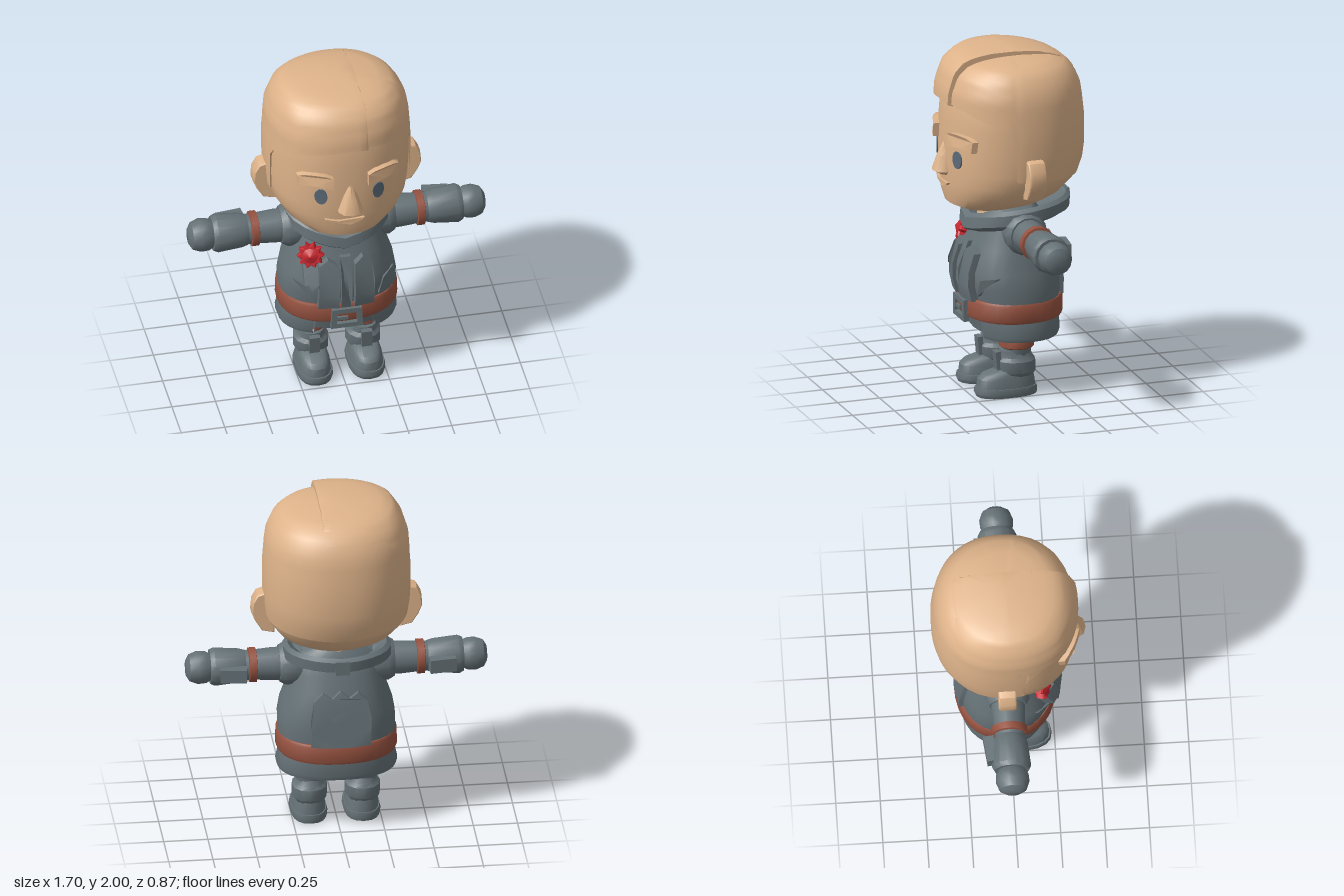
import * as THREE from 'three';
import { toCreasedNormals } from 'three/addons/utils/BufferGeometryUtils.js';

const mat = (name, color, side = THREE.FrontSide) => {
  const m = new THREE.MeshStandardMaterial({ color, side });
  m.name = name;
  return m;
};
const clamp = (v) => Math.min(1, Math.max(0, v));
const lerp = THREE.MathUtils.lerp;

// Piecewise-linear lookup in a table whose first column is the key
function lookup(rows, k) {
  if (k <= rows[0][0]) return rows[0];
  for (let i = 1; i < rows.length; i++) {
    const a = rows[i - 1], b = rows[i];
    if (k <= b[0]) return a.map((v, j) => lerp(v, b[j], (k - a[0]) / (b[0] - a[0])));
  }
  return rows[rows.length - 1];
}

// Surface from fn(i, j): i runs around (front to +x), j runs upwards
function grid(fn, cols, rows, crease = 0.65) {
  const pos = [], idx = [], w = cols + 1;
  for (let j = 0; j < rows; j++) for (let i = 0; i <= cols; i++) pos.push(...fn(i, j));
  for (let j = 0; j < rows - 1; j++) for (let i = 0; i < cols; i++) {
    const a = j * w + i;
    idx.push(a, a + 1, a + w + 1, a, a + w + 1, a + w);
  }
  const g = new THREE.BufferGeometry();
  g.setAttribute('position', new THREE.Float32BufferAttribute(pos, 3));
  g.setIndex(idx);
  return toCreasedNormals(g, crease);
}

// Point on a section [y, half width, front z, back z] at angle a
function onSection([, rx, zf, zb], a, n, off = 0) {
  const p = (v) => Math.sign(v) * Math.abs(v) ** (2 / n);
  return [(rx + off) * p(Math.sin(a)), (zf + zb) / 2 + ((zf - zb) / 2 + off) * p(Math.cos(a))];
}

// Stacked sections, optionally capped, over an arc
function loft(rows, { segs = 20, n = 2.2, a0 = 0, a1 = Math.PI * 2, capped = true, bend = (x, y) => y } = {}) {
  const cap = ([y, , f, b]) => [y, 0, (f + b) / 2, (f + b) / 2];
  const all = capped ? [cap(rows[0]), ...rows, cap(rows[rows.length - 1])] : rows;
  return grid((i, j) => {
    const [x, z] = onSection(all[j], lerp(a0, a1, i / segs), n);
    return [x, bend(x, all[j][0], z), z];
  }, segs, all.length);
}

// Extruded outline laid onto the front (or back) of a lofted surface
function plate(pts, depth, sunk, rows, n, back = false) {
  const shape = new THREE.Shape(pts.map(([x, y]) => new THREE.Vector2(x, y)));
  const g = new THREE.ExtrudeGeometry(shape, { depth, bevelEnabled: false });
  const p = g.attributes.position;
  for (let i = 0; i < p.count; i++) {
    const [, rx, zf, zb] = lookup(rows, p.getY(i));
    const k = (1 - Math.min(0.98, Math.abs(p.getX(i) / rx)) ** n) ** (1 / n);
    p.setZ(i, p.getZ(i) - sunk + (back ? -1 : 1) * (zf + zb) / 2 + (zf - zb) / 2 * k);
  }
  if (back) g.rotateY(Math.PI);
  return toCreasedNormals(g, 0.5);
}

const HEAD = [[1.085, .16, .27, -.1], [1.12, .25, .345, -.2], [1.18, .33, .36, -.3], [1.26, .383, .365, -.375],
  [1.34, .398, .37, -.41], [1.45, .404, .37, -.425], [1.6, .404, .365, -.425], [1.78, .39, .35, -.405],
  [1.87, .35, .315, -.365], [1.925, .29, .25, -.3], [1.95, .18, .14, -.19], [1.96, 0, -.02, -.02]];
const TORSO = [[.45, .325, .22, -.28], [.57, .333, .24, -.285], [.65, .332, .26, -.288], [.73, .318, .26, -.28],
  [.86, .275, .215, -.25], [.95, .255, .18, -.21], [1.05, .23, .15, -.18], [1.1, .15, .1, -.15]];
const HAIRLINE = [[0, 1.73], [.6, 1.7], [1.05, 1.64], [1.3, 1.59], [1.38, 1.31], [3.15, 1.27]];

export function createModel() {
  const root = new THREE.Group();
  const skin = mat('skin', 0xdeb38a), cloth = mat('grey cloth', 0x667277, THREE.DoubleSide);
  const leather = mat('brown leather', 0x965240), red = mat('red badge', 0xc4262e), eye = mat('eye', 0x5c6b78);
  const add = (name, geo, m, x = 0, y = 0, z = 0) => {
    const o = new THREE.Mesh(geo, m);
    o.name = name;
    o.position.set(x, y, z);
    root.add(o);
    return o;
  };

  // Head and neck
  add('head', loft(HEAD, { segs: 48, capped: true }), skin);
  add('neck', new THREE.CylinderGeometry(.15, .17, .2, 16), skin, 0, 1.05, 0);

  // Hair shell; the swept half is raised and cut off along the parting
  const hair = (swept) => grid((i, j) => {
    let a = i / 72 * Math.PI * 2;
    if (a > Math.PI) a -= Math.PI * 2;
    const line = lookup(HAIRLINE, Math.abs(a))[1];
    const bottom = swept ? Math.max(line, 1.68) : line;
    let y = lerp(bottom, 1.96, Math.sin(Math.max(0, j - 1) / 13 * Math.PI / 2));
    const row = lookup(HEAD, y);
    let off = j === 0 ? -.02 : .012;
    if (swept && j > 0) {
      const [x, z] = onSection(row, a, 2.2);
      off += .028 * clamp((z + .32) / .3) * clamp((x + .42) / .15) - .002;
    }
    const [x, z] = onSection(row, a, 2.2, row[1] > 0 ? off : 0);
    y += off * clamp((y - 1.75) / .18);
    return [swept ? Math.min(x, .1) : x, y, z];
  }, 72, 15, 0.6);
  add('hair', hair(false), skin);
  add('sweptHair', hair(true), skin);

  // Face
  add('nose', loft([[1.285, .04, .39, .3], [1.31, .075, .435, .28], [1.4, .045, .405, .3], [1.475, .02, .37, .3]], { segs: 10 }), skin);
  add('mouth', plate([[-.145, 1.255], [-.07, 1.243], [.08, 1.25], [.06, 1.232], [0, 1.212], [-.09, 1.232]], .025, .008, HEAD, 2.2), skin);
  for (const s of [1, -1]) {
    const brow = [[.1, 1.475], [.1, 1.55], [.14, 1.565], [.2, 1.568], [.26, 1.56], [.29, 1.54], [.285, 1.475], [.26, 1.49], [.2, 1.495], [.14, 1.487]];
    add('eyebrow', plate(brow.map(([x, y]) => [s * x, y]), .055, .02, HEAD, 2.2), skin);
    const oval = Array.from({ length: 14 }, (_, i) => {
      const a = i / 14 * Math.PI * 2;
      return [s * .165 + .035 * Math.cos(a), 1.408 + .051 * Math.sin(a)];
    });
    add('eye', plate(oval, .009, .002, HEAD, 2.2), eye);
    const ear = new THREE.Shape([[.36, 1.2], [.42, 1.215], [.455, 1.27], [.475, 1.32], [.47, 1.38], [.445, 1.425], [.41, 1.435], [.36, 1.38]]
      .map(([x, y]) => new THREE.Vector2(s * x, y)));
    add('ear', toCreasedNormals(new THREE.ExtrudeGeometry(ear, { depth: .06, bevelSize: .008, bevelThickness: .02, bevelSegments: 2 }), .6), skin, 0, 0, -.06);
  }

  // Coat body with placket, chest panels, back panel and slanted pockets
  add('coat', loft(TORSO, { segs: 28, n: 2.4 }), cloth);
  add('placket', plate([[-.03, .55], [.03, .55], [.03, .65], [.03, .75], [.03, .88], [-.03, .88], [-.03, .75], [-.03, .65]], .045, .02, TORSO, 2.4), cloth);
  for (const s of [1, -1]) {
    const panel = [[.045, .56], [.045, .65], [.045, .73], [.05, .84], [.1, .875], [.15, .835], [.16, .73], [.16, .65], [.16, .56]];
    add('chestPanel', plate(panel.map(([x, y]) => [s * x, y]), .06, .02, TORSO, 2.4), cloth);
    add('pocket', plate([[.19, .6], [.22, .7], [.29, .72]].map(([x, y]) => [s * x, y]), .05, .03, TORSO, 2.4), cloth);
  }
  add('backPanel', plate([[-.17, .56], [-.06, .56], [.06, .56], [.17, .56], [.17, .65], [.17, .73], [.15, .83], [.1, .88], [.05, .85],
    [0, .89], [-.05, .85], [-.1, .88], [-.15, .83], [-.17, .73], [-.17, .65]], .055, .03, TORSO, 2.4, true), cloth);

  // Belt and buckle
  add('belt', loft([[.455, .335, .258, -.303], [.47, .343, .265, -.308], [.555, .34, .262, -.308], [.57, .332, .255, -.3]], { segs: 32, n: 2.3 }), leather);
  const frame = new THREE.Shape([[-.092, -.06], [.092, -.06], [.085, .065], [-.085, .065]].map((p) => new THREE.Vector2(...p)));
  frame.holes.push(new THREE.Path([[-.06, -.032], [-.055, .036], [.055, .036], [.06, -.032]].map((p) => new THREE.Vector2(...p))));
  add('buckle', new THREE.ExtrudeGeometry(frame, { depth: .03, bevelEnabled: false }), cloth, 0, .485, .25);
  add('bucklePin', new THREE.BoxGeometry(.075, .02, .03), cloth, -.03, .485, .262);

  // Hips and open-fronted coat skirt
  add('hips', loft([[.335, .24, .15, -.2], [.36, .28, .19, -.235], [.47, .3, .215, -.25]], { segs: 20 }), cloth);
  add('coatSkirt', loft([[.46, .29, .2, -.25], [.36, .315, .2, -.255], [.345, .335, .215, -.28], [.37, .343, .225, -.288], [.46, .322, .235, -.285]],
    { segs: 28, n: 2.3, a0: .5, a1: Math.PI * 2 - .5, capped: false }), cloth);

  // Wide collar, higher at the back and dipping at the throat
  add('collar', loft([[.97, .23, .17, -.19], [1.0, .29, .235, -.32], [1.015, .305, .25, -.36], [1.075, .305, .24, -.365], [1.095, .28, .21, -.34], [1.03, .2, .12, -.2]],
    { segs: 24, capped: false, bend: (x, y, z) => y - z * .13 + .06 * Math.abs(x) - .03 * clamp(z / .2) * clamp(1 - Math.abs(x) / .2) }), cloth);
  add('collarTab', new THREE.BoxGeometry(.08, .08, .03), cloth, 0, 1.09, -.355);

  // Rosette with ribbon tails
  const star = new THREE.Shape(Array.from({ length: 20 }, (_, i) => {
    const r = i % 2 ? .05 : .07, a = i / 20 * Math.PI * 2;
    return new THREE.Vector2(r * Math.cos(a), r * Math.sin(a));
  }));
  const badge = new THREE.Group();
  badge.name = 'rosette';
  badge.position.set(-.185, .885, .17);
  badge.rotation.set(-.3, -.3, 0);
  const petals = new THREE.Mesh(new THREE.ExtrudeGeometry(star, { depth: .03, bevelSize: .006, bevelThickness: .01, bevelSegments: 1 }), red);
  petals.name = 'rosettePetals';
  const centre = new THREE.Mesh(new THREE.ConeGeometry(.05, .025, 10).rotateX(Math.PI / 2), red);
  centre.name = 'rosetteCentre';
  centre.position.z = .05;
  badge.add(petals, centre);
  root.add(badge);
  add('ribbonTails', plate([[-.235, .83], [-.235, .72], [-.215, .735], [-.2, .69], [-.165, .74], [-.16, .83]], .07, .02, TORSO, 2.4), cloth);

  // Arms: lathed segments laid along x, profile points are [radius, x]
  const ARM = [
    ['shoulder', cloth, [[0, .18], [.12, .2], [.125, .29], [.105, .325], [0, .325]]],
    ['sleeve', cloth, [[.095, .3], [.095, .36], [.088, .45], [.085, .53]]],
    ['armStrap', leather, [[.08, .45], [.1, .455], [.1, .495], [.08, .5]]],
    ['cuff', cloth, [[0, .515], [.088, .515], [.098, .55], [.11, .69], [.098, .715], [0, .715]]],
    ['fist', cloth, [[.06, .68], [.075, .705], [.092, .74], [.095, .785], [.078, .83], [.045, .85], [0, .85]]],
  ];
  for (const s of [1, -1]) {
    for (const [name, m, pts] of ARM) {
      const g = new THREE.LatheGeometry(pts.map((p) => new THREE.Vector2(...p)), 14);
      g.rotateZ(-s * Math.PI / 2);
      add(name, toCreasedNormals(g, .65), m, 0, .97, -.022);
    }
    const flap = add('cuffFlap', new THREE.BoxGeometry(.15, .08, .06), cloth, s * .59, .97, -.135);
    flap.rotation.y = -s * .12;
  }

  // Legs and boots
  for (const s of [1, -1]) {
    const x = s * .15;
    add('leg', loft([[.2, .07, .06, -.085], [.3, .085, .07, -.1], [.38, .085, .07, -.1]], { segs: 14 }), cloth, x);
    add('legStrap', loft([[.275, .093, .078, -.1], [.282, .1, .087, -.11], [.322, .1, .087, -.11], [.332, .093, .078, -.1]], { segs: 16 }), leather, x);
    add('sole', loft([[0, .1, .225, -.125], [.02, .106, .235, -.13], [.05, .1, .23, -.127]], { segs: 18, n: 2.5 }), cloth, x);
    add('boot', loft([[.045, .095, .222, -.12], [.1, .088, .215, -.113], [.125, .08, .19, -.108], [.15, .07, .1, -.1]], { segs: 18, n: 2.5 }), cloth, x);
    add('bootShaft', loft([[.11, .08, .085, -.105], [.135, .1, .1, -.12], [.2, .1, .105, -.12], [.22, .08, .09, -.105], [.26, .072, .09, -.09]], { segs: 12 }), cloth, x);
    const tongue = add('bootTongue', new THREE.BoxGeometry(.06, .13, .03), cloth, x, .19, .1);
    tongue.rotation.x = .1;
  }
  return root;
}
